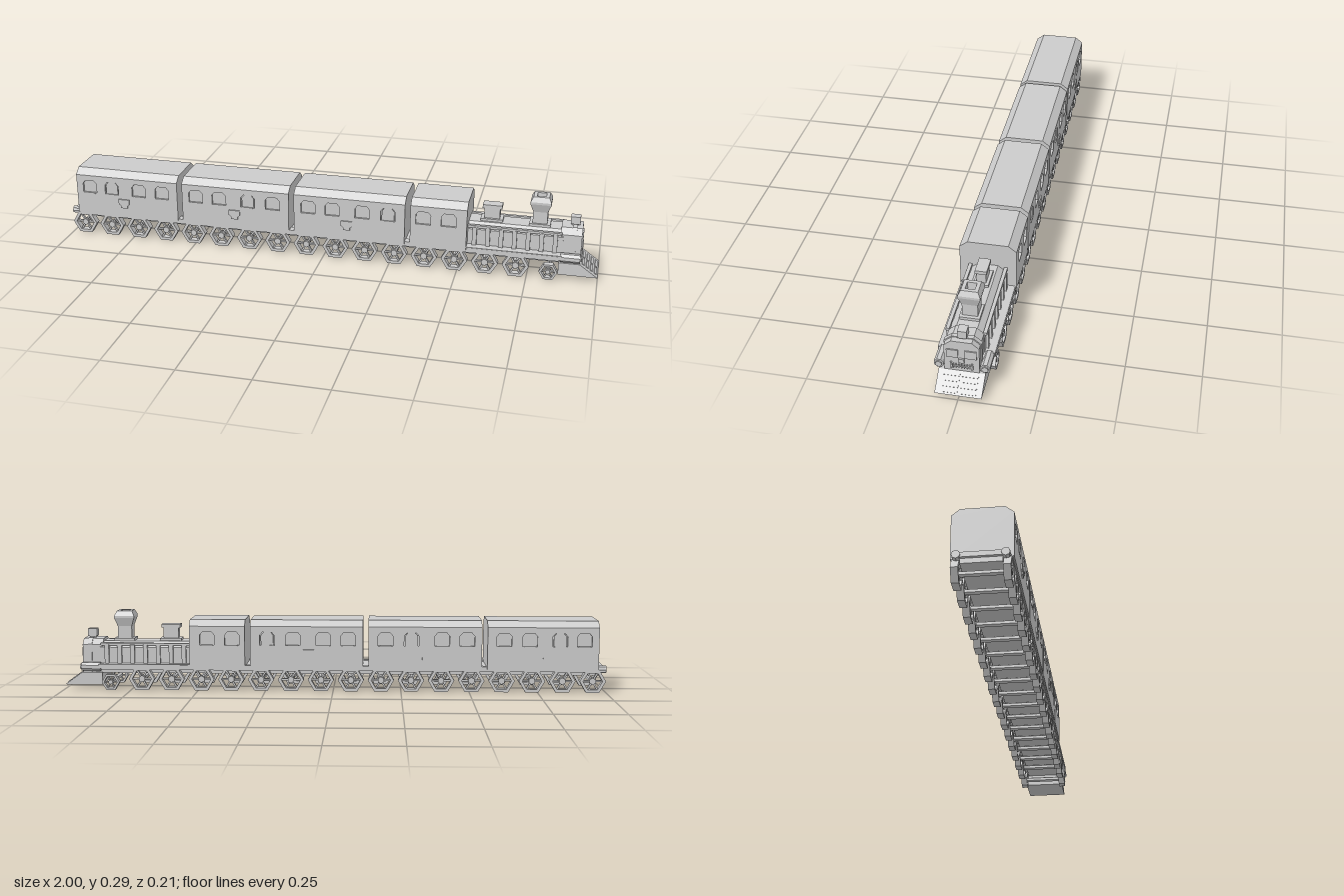
import * as THREE from 'three';

const mat = new THREE.MeshStandardMaterial({ color: 0xcccccc, flatShading: true, side: THREE.DoubleSide });

function add(group, name, geo, x = 0, y = 0, z = 0) {
  const mesh = new THREE.Mesh(geo, mat);
  mesh.name = name;
  mesh.position.set(x, y, z);
  group.add(mesh);
  return mesh;
}

// Box given by its limits
function box(group, name, x0, x1, y0, y1, z0, z1) {
  return add(group, name, new THREE.BoxGeometry(x1 - x0, y1 - y0, z1 - z0), (x0 + x1) / 2, (y0 + y1) / 2, (z0 + z1) / 2);
}

const poly = (pts) => new THREE.Shape(pts.map(([x, y]) => new THREE.Vector2(x, y)));
const extrude = (shape, depth) => new THREE.ExtrudeGeometry(shape, { depth, bevelEnabled: false });

// Symmetric cross-section (half-width, height), swept along x
function hull(group, name, half, x0, x1) {
  const pts = [...half, ...half.map(([z, y]) => [-z, y]).reverse()];
  return add(group, name, extrude(poly(pts), x1 - x0).rotateY(Math.PI / 2), x0);
}

// Window outline with clipped upper corners
function windowPoints(x, w = 0.027) {
  return [[x - w, 0.17], [x + w, 0.17], [x + w, 0.207], [x + w - 0.01, 0.219], [x - w + 0.01, 0.219], [x - w, 0.207]];
}

// Carriage with recessed windows; one window has a nearly flush pane
function carriage(name, x0, x1, windows, paneIndex, plateX) {
  const car = new THREE.Group();
  car.name = name;
  hull(car, 'bodyAndRoof', [[0.089, 0.085], [0.089, 0.236], [0.098, 0.236], [0.098, 0.24], [0.07, 0.262]], x0, x1);
  const side = poly([[x0, 0.085], [x1, 0.085], [x1, 0.237], [x0, 0.237]]);
  const xs = windows.map((f) => x0 + f * (x1 - x0));
  xs.forEach((x) => side.holes.push(new THREE.Path(poly(windowPoints(x)).getPoints())));
  const wall = extrude(side, 0.009);
  for (const s of [-1, 1]) {
    add(car, 'sideWall', wall, 0, 0, s > 0 ? 0.089 : -0.098);
    xs.forEach((x, i) => {
      box(car, 'windowSill', x - 0.02, x + 0.02, 0.167, 0.171, s * 0.096 - 0.003, s * 0.096 + 0.003);
      if (i === paneIndex) add(car, 'windowPane', extrude(poly(windowPoints(x, 0.023)), 0.006), 0, 0, s > 0 ? 0.089 : -0.095);
    });
    if (plateX !== undefined) {
      const p = poly([[-0.013, 0.12], [0.013, 0.12], [0.013, 0.13], [0.021, 0.136], [0.021, 0.155], [-0.021, 0.155], [-0.021, 0.136], [-0.013, 0.13]]);
      add(car, 'sidePlate', extrude(p, 0.006), plateX, 0, s > 0 ? 0.097 : -0.103);
    }
  }
  return car;
}

// Hexagonal spoked wheel
function wheel(x, z, radius) {
  const g = new THREE.Group();
  g.name = 'wheel';
  const hex = (r) => Array.from({ length: 6 }, (_, i) => [r * Math.cos(i * Math.PI / 3), r * Math.sin(i * Math.PI / 3)]);
  const rim = poly(hex(radius));
  rim.holes.push(new THREE.Path(poly(hex(radius * 0.74)).getPoints()));
  add(g, 'rim', extrude(rim, 0.024), 0, 0, -0.012);
  add(g, 'hub', new THREE.CylinderGeometry(radius * 0.27, radius * 0.27, 0.022, 6).rotateX(Math.PI / 2));
  for (let i = 0; i < 3; i++) {
    add(g, 'spoke', new THREE.BoxGeometry(radius * 1.6, radius * 0.13, 0.01)).rotation.z = i * Math.PI / 3;
  }
  g.position.set(x, radius * 0.866, z);
  return g;
}

function locomotive() {
  const g = new THREE.Group();
  g.name = 'locomotive';
  // Boiler, smokebox and running boards
  hull(g, 'boiler', [[0.06, 0.07], [0.06, 0.155], [0.034, 0.176]], 0.53, 0.87);
  hull(g, 'smokebox', [[0.057, 0.065], [0.057, 0.165], [0.034, 0.185]], 0.86, 0.935);
  hull(g, 'smokeboxFlange', [[0.061, 0.065], [0.061, 0.167], [0.036, 0.188]], 0.9, 0.915);
  box(g, 'runningBoard', 0.53, 0.87, 0.08, 0.096, -0.093, 0.093);
  for (const s of [-1, 1]) {
    for (let i = 0; i < 7; i++) {
      const x = 0.555 + i * 0.048;
      box(g, 'boilerRib', x - 0.008, x + 0.008, 0.09, 0.166, s * 0.062 - 0.007, s * 0.062 + 0.007);
    }
    box(g, 'handrail', 0.53, 0.865, 0.163, 0.172, s * 0.061 - 0.006, s * 0.061 + 0.006);
    // Lamps beside the smokebox
    box(g, 'lampArm', 0.85, 0.9, 0.074, 0.096, s * 0.07 - 0.012, s * 0.07 + 0.012);
    add(g, 'sideLamp', new THREE.CylinderGeometry(0.017, 0.017, 0.07, 8).rotateZ(Math.PI / 2).rotateX(Math.PI / 8), 0.9, 0.085, s * 0.075);
    add(g, 'lampLens', new THREE.CylinderGeometry(0.011, 0.011, 0.01, 8).rotateZ(Math.PI / 2), 0.935, 0.085, s * 0.075);
    // Face panels
    box(g, 'facePanel', 0.93, 0.939, 0.121, 0.152, s * 0.03 - 0.019, s * 0.03 + 0.019);
    box(g, 'faceTrim', 0.93, 0.939, 0.075, 0.1, s * 0.034 - 0.003, s * 0.034 + 0.003);
  }
  box(g, 'faceLatch', 0.93, 0.941, 0.102, 0.118, -0.009, 0.009);
  box(g, 'grilleBar', 0.93, 0.94, 0.084, 0.088, -0.03, 0.03);
  for (let i = -3; i <= 3; i++) box(g, 'grilleTooth', 0.93, 0.939, 0.078, 0.095, i * 0.009 - 0.0015, i * 0.009 + 0.0015);

  // Square flared chimney with an open top
  const chimney = [[0.026, 0.165], [0.026, 0.23], [0.037, 0.262], [0.037, 0.27], [0.028, 0.288], [0.016, 0.288], [0.012, 0.245], [0, 0.245]]
    .map(([r, y]) => new THREE.Vector2(r * Math.SQRT2, y));
  add(g, 'chimney', new THREE.LatheGeometry(chimney, 4).rotateY(Math.PI / 4), 0.782);
  box(g, 'chimneyBase', 0.745, 0.82, 0.17, 0.186, -0.034, 0.034);
  // Steam dome and headlamp
  box(g, 'domeBase', 0.57, 0.65, 0.17, 0.185, -0.026, 0.026);
  box(g, 'dome', 0.582, 0.638, 0.18, 0.228, -0.016, 0.016);
  box(g, 'domeCap', 0.575, 0.645, 0.224, 0.237, -0.02, 0.02);
  box(g, 'headlampFoot', 0.895, 0.918, 0.18, 0.195, -0.01, 0.01);
  box(g, 'headlamp', 0.89, 0.924, 0.191, 0.219, -0.015, 0.015);

  // Sloping cowcatcher with slats
  const wedge = poly([[0.86, 0.017], [1, 0.017], [0.935, 0.063], [0.86, 0.063]]);
  add(g, 'cowcatcher', extrude(wedge, 0.152), 0, 0, -0.076);
  const slope = Math.atan2(-0.046, 0.065);
  for (const s of [-1, 1]) {
    for (let i = 0; i < 4; i++) {
      const t = 0.16 + i * 0.23;
      add(g, 'cowcatcherSlat', new THREE.BoxGeometry(0.01, 0.006, 0.053), 0.935 + 0.065 * t, 0.063 - 0.046 * t, s * 0.03).rotation.z = slope;
    }
  }
  return g;
}

export function createModel() {
  const model = new THREE.Group();
  model.name = 'train';

  // Carriages and cab
  const four = [0.13, 0.35, 0.62, 0.85];
  model.add(carriage('rearCarriage', -0.97, -0.565, four, 1, -0.78));
  model.add(carriage('middleCarriage', -0.545, -0.13, four, 2, -0.34));
  model.add(carriage('frontCarriage', -0.11, 0.305, four, 3, 0.09));
  model.add(carriage('cab', 0.325, 0.53, [0.23, 0.68], -1));
  model.add(locomotive());

  // Chassis with side sills
  box(model, 'chassis', -0.985, 0.9, 0.06, 0.09, -0.066, 0.066);
  for (const s of [-1, 1]) {
    box(model, 'sideSill', -0.97, 0.86, 0.076, 0.094, s * 0.08 - 0.014, s * 0.08 + 0.014);
    add(model, 'rearBuffer', new THREE.CylinderGeometry(0.014, 0.014, 0.05, 8).rotateZ(Math.PI / 2), -0.975, 0.085, s * 0.076);
  }
  box(model, 'rearBeam', -0.995, -0.965, 0.077, 0.094, -0.088, 0.088);

  // Wheels and axles
  for (let i = 0; i <= 16; i++) {
    const radius = i < 16 ? 0.048 : 0.033;
    const x = -0.951 + i * 0.1107 + (i < 16 ? 0 : 0.006);
    for (const s of [-1, 1]) model.add(wheel(x, s * 0.08, radius));
    add(model, 'axle', new THREE.CylinderGeometry(0.01, 0.01, 0.15, 6).rotateX(Math.PI / 2), x, radius * 0.866, 0);
  }
  return model;
}
